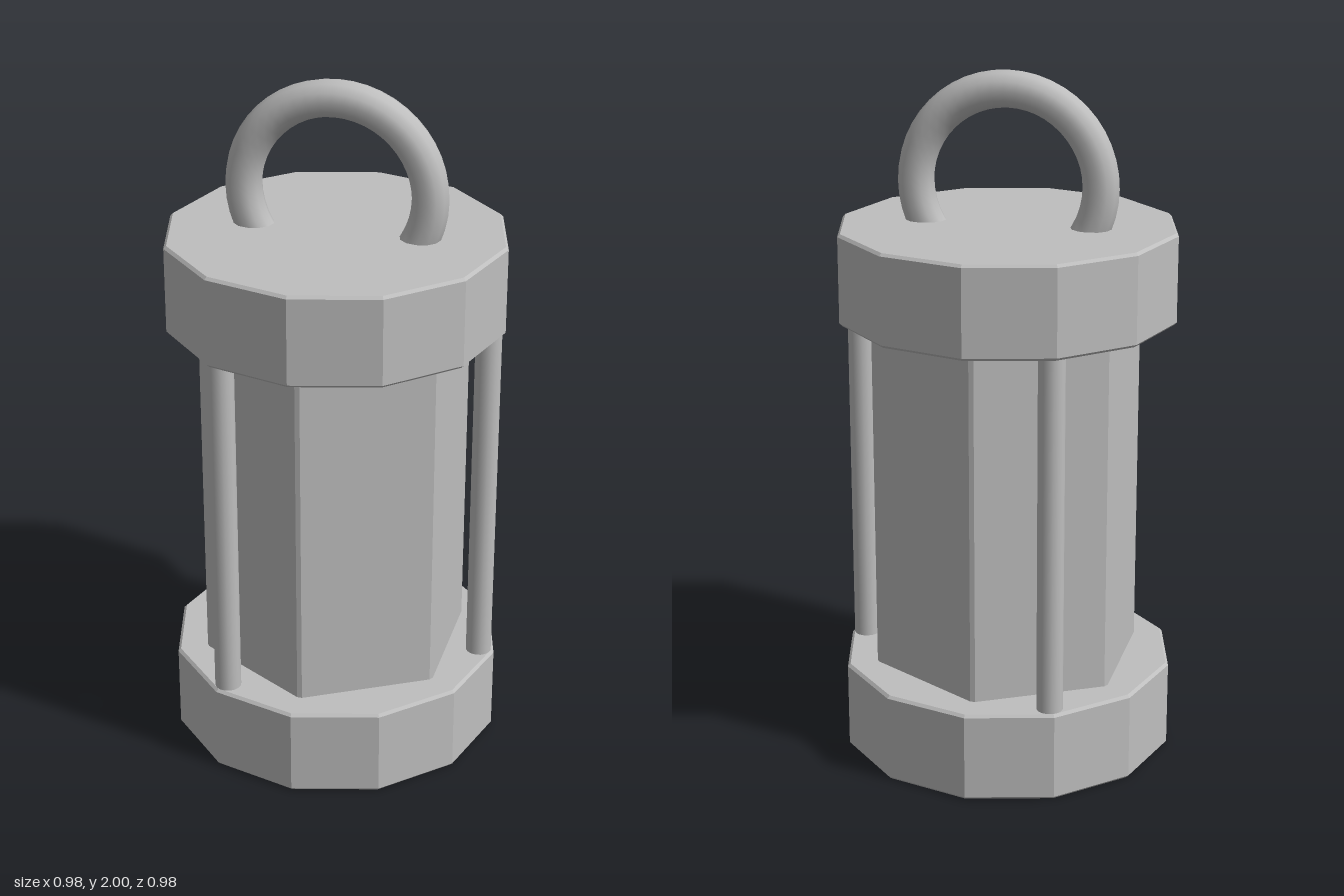
import * as THREE from 'three';

export function createModel() {
  const model = new THREE.Group();
  const faceted = new THREE.MeshStandardMaterial({ color: 0xbebebe, flatShading: true });
  faceted.name = 'grey metal';
  // Same colour with smooth normals for the round parts
  const smooth = faceted.clone();
  smooth.flatShading = false;
  smooth.name = 'smooth grey metal';

  const add = (name, geometry, material, x = 0, y = 0, z = 0) => {
    const mesh = new THREE.Mesh(geometry, material);
    mesh.name = name;
    mesh.position.set(x, y, z);
    model.add(mesh);
    return mesh;
  };

  // Twelve-sided end caps with a small bevel on both rims
  const R = 0.49, H = 0.264, B = 0.008;
  const profile = [[0, 0], [R - B, 0], [R, B], [R, H - B], [R - B, H], [0, H]]
    .map(([x, y]) => new THREE.Vector2(x, y));
  const capGeometry = new THREE.LatheGeometry(profile, 12);
  add('bottomCap', capGeometry, faceted);
  add('topCap', capGeometry, faceted, 0, 1.301, 0);

  // Hexagonal body with narrow chamfers along its upright edges
  const outline = [];
  for (let i = 0; i < 6; i++) {
    for (const side of [-1, 1]) {
      const a = Math.PI / 2 + i * Math.PI / 3 + side * 0.018;
      outline.push(new THREE.Vector2(Math.cos(a) * 0.398, Math.sin(a) * 0.398));
    }
  }
  const bodyGeometry = new THREE.ExtrudeGeometry(new THREE.Shape(outline), { depth: 1.1, bevelEnabled: false });
  bodyGeometry.rotateX(-Math.PI / 2);
  add('body', bodyGeometry, faceted, 0, 0.235, 0);

  // Three round posts joining the caps
  const postGeometry = new THREE.CylinderGeometry(0.038, 0.038, 1.1, 16);
  for (let i = 0; i < 3; i++) {
    const a = i * Math.PI * 2 / 3;
    add('post' + (i + 1), postGeometry, smooth, Math.cos(a) * 0.443, 0.785, Math.sin(a) * 0.443);
  }

  // Carrying ring, its lower part sunk into the top cap
  add('handleRing', new THREE.TorusGeometry(0.268, 0.053, 12, 48), smooth, 0, 1.679, 0);

  return model;
}
